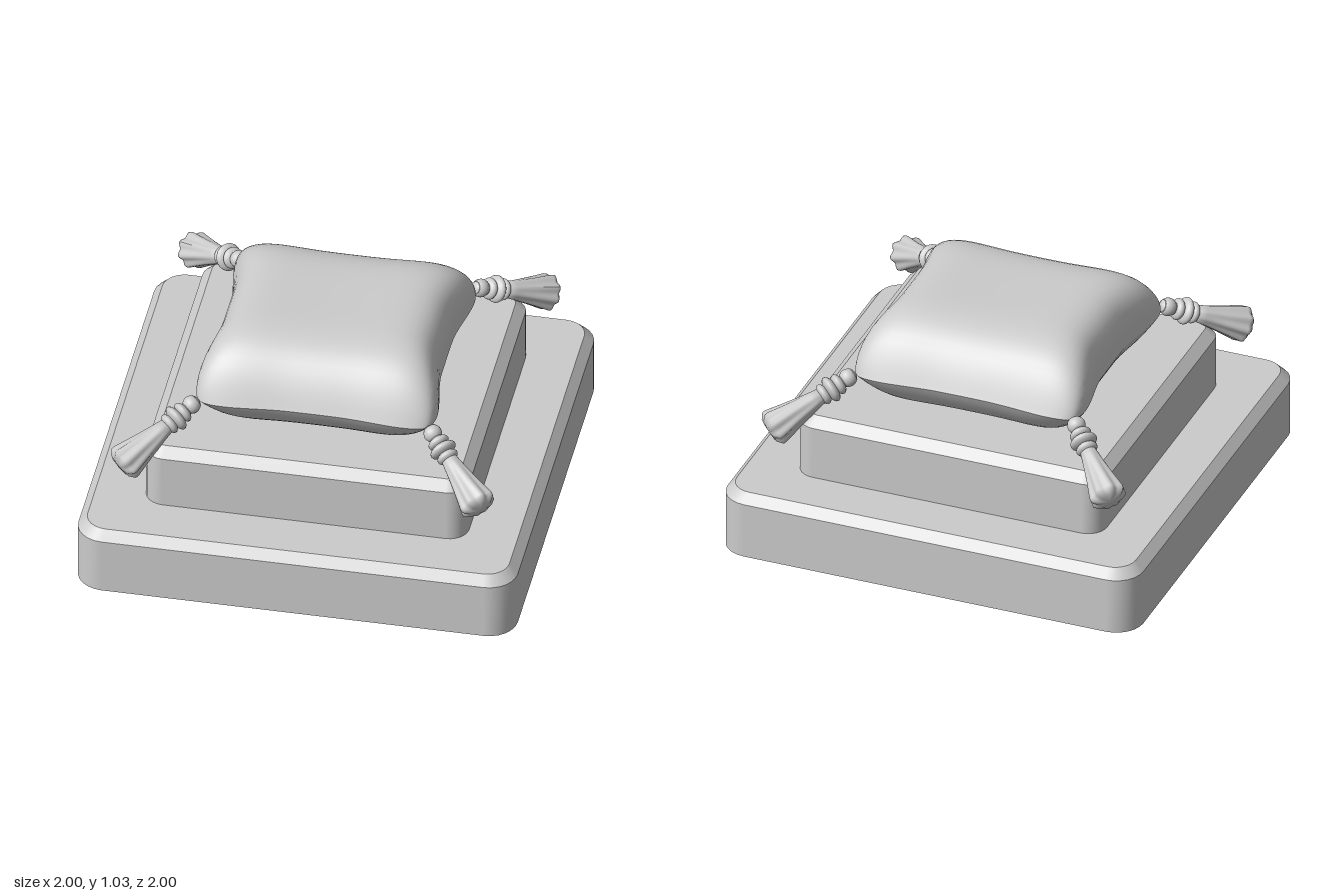
import * as THREE from 'three';

const grey = new THREE.MeshStandardMaterial({ color: 0xcccccc });
const greyDouble = new THREE.MeshStandardMaterial({ color: 0xcccccc, side: THREE.DoubleSide });

function add(parent, name, geometry, material = grey) {
  const mesh = new THREE.Mesh(geometry, material);
  mesh.name = name;
  parent.add(mesh);
  return mesh;
}

function buildGeometry(positions, indices) {
  const g = new THREE.BufferGeometry();
  g.setAttribute('position', new THREE.Float32BufferAttribute(positions, 3));
  g.setIndex(indices);
  g.computeVertexNormals();
  return g;
}

// Rounded square loop: half width, corner radius, height
function squareLoop([half, radius, y]) {
  const loop = [], steps = 6;
  for (let c = 0; c < 4; c++) {
    const mid = Math.PI / 4 + c * Math.PI / 2;
    const cx = Math.sign(Math.cos(mid)) * (half - radius);
    const cz = Math.sign(Math.sin(mid)) * (half - radius);
    for (let i = 0; i <= steps; i++) {
      const a = (c + i / steps) * Math.PI / 2;
      loop.push([cx + radius * Math.cos(a), y, cz + radius * Math.sin(a)]);
    }
  }
  return loop;
}

// Band between two loops, kept separate so its borders stay crisp
function band(lower, upper) {
  const a = squareLoop(lower), b = squareLoop(upper), n = a.length, idx = [];
  for (let i = 0; i < n; i++) {
    const j = (i + 1) % n;
    idx.push(i, n + i, j, j, n + i, n + j);
  }
  return buildGeometry([...a, ...b].flat(), idx);
}

// One half of the pillow: a grid pinched at the seam
function pillowHalf(top) {
  const n = 36, pos = [], idx = [];
  for (let i = 0; i <= n; i++) {
    for (let j = 0; j <= n; j++) {
      const u = Math.sin((i / n - 0.5) * Math.PI), v = Math.sin((j / n - 0.5) * Math.PI);
      const au = Math.abs(u), av = Math.abs(v);
      const corner = 0.035 * (au * av) ** 8;
      const x = u * (0.505 + 0.048 * THREE.MathUtils.smoothstep(av, 0.2, 0.85) - corner);
      const z = v * (0.545 + 0.015 * THREE.MathUtils.smoothstep(au, 0.2, 0.75) - corner);
      const seam = 0.775 - 0.015 * u * u;
      const rise = 0.265 * (1 - au ** 6) ** 0.4 * (1 - av ** 5) ** 1.1 * (0.95 + 0.16 * u * u);
      const drop = 0.19 * (1 - au ** 6) * (1 - av ** 6);
      pos.push(x, top ? seam + rise : seam - drop, z);
    }
  }
  for (let i = 0; i < n; i++) {
    for (let j = 0; j < n; j++) {
      const a = i * (n + 1) + j, b = a + 1, c = a + n + 1, d = c + 1;
      if (top) idx.push(a, b, c, b, d, c);
      else idx.push(a, c, b, b, c, d);
    }
  }
  return buildGeometry(pos, idx);
}

// Fluted tassel skirt along +y
function skirtGeometry() {
  const profile = [[0, 0.17], [0.036, 0.175], [0.043, 0.22], [0.06, 0.32], [0.079, 0.42],
    [0.078, 0.435], [0.055, 0.455], [0, 0.46]].map(p => new THREE.Vector2(...p));
  const g = new THREE.LatheGeometry(profile, 48);
  const p = g.attributes.position;
  for (let i = 0; i < p.count; i++) {
    const x = p.getX(i), y = p.getY(i), z = p.getZ(i);
    const flute = 1 + 0.09 * Math.cos(8 * Math.atan2(z, x)) * THREE.MathUtils.smoothstep(y, 0.18, 0.42);
    p.setXYZ(i, x * flute, y, z * flute);
  }
  g.computeVertexNormals();
  return g;
}

function createTassel(sx, sz) {
  const tassel = new THREE.Group();
  tassel.name = 'tassel';
  // Beads: distance along the cord, radius, half thickness
  for (const [t, r, h] of [[0.03, 0.042, 0.04], [0.082, 0.05, 0.026], [0.122, 0.063, 0.028], [0.162, 0.05, 0.026]]) {
    const bead = add(tassel, 'tasselBead', new THREE.SphereGeometry(1, 20, 12));
    bead.scale.set(r, h, r);
    bead.position.y = t;
  }
  add(tassel, 'tasselCord', new THREE.CylinderGeometry(0.03, 0.03, 0.18, 12)).position.y = 0.09;
  add(tassel, 'tasselSkirt', skirtGeometry());
  const direction = new THREE.Vector3(sx, -0.68, sz).normalize();
  tassel.quaternion.setFromUnitVectors(new THREE.Vector3(0, 1, 0), direction);
  tassel.position.set(sx * 0.53, 0.765, sz * 0.53);
  return tassel;
}

export function createModel() {
  const model = new THREE.Group();
  model.name = 'pillowOnPedestal';

  // Hollow stepped pedestal, open underneath
  const pedestal = new THREE.Group();
  pedestal.name = 'pedestal';
  model.add(pedestal);
  const steps = [[1, 0.13, 0], [1, 0.13, 0.27], [0.96, 0.1, 0.315], [0.735, 0.09, 0.315],
    [0.735, 0.09, 0.57], [0.69, 0.05, 0.615], [0.001, 0.0005, 0.615]];
  const names = ['lowerWall', 'lowerBevel', 'lowerTop', 'upperWall', 'upperBevel', 'upperTop'];
  names.forEach((name, i) => add(pedestal, name, band(steps[i], steps[i + 1]), greyDouble));

  // Pillow
  const pillow = new THREE.Group();
  pillow.name = 'pillow';
  model.add(pillow);
  add(pillow, 'pillowTop', pillowHalf(true));
  add(pillow, 'pillowBottom', pillowHalf(false));

  // Corner tassels
  for (const sx of [-1, 1]) for (const sz of [-1, 1]) model.add(createTassel(sx, sz));

  return model;
}
